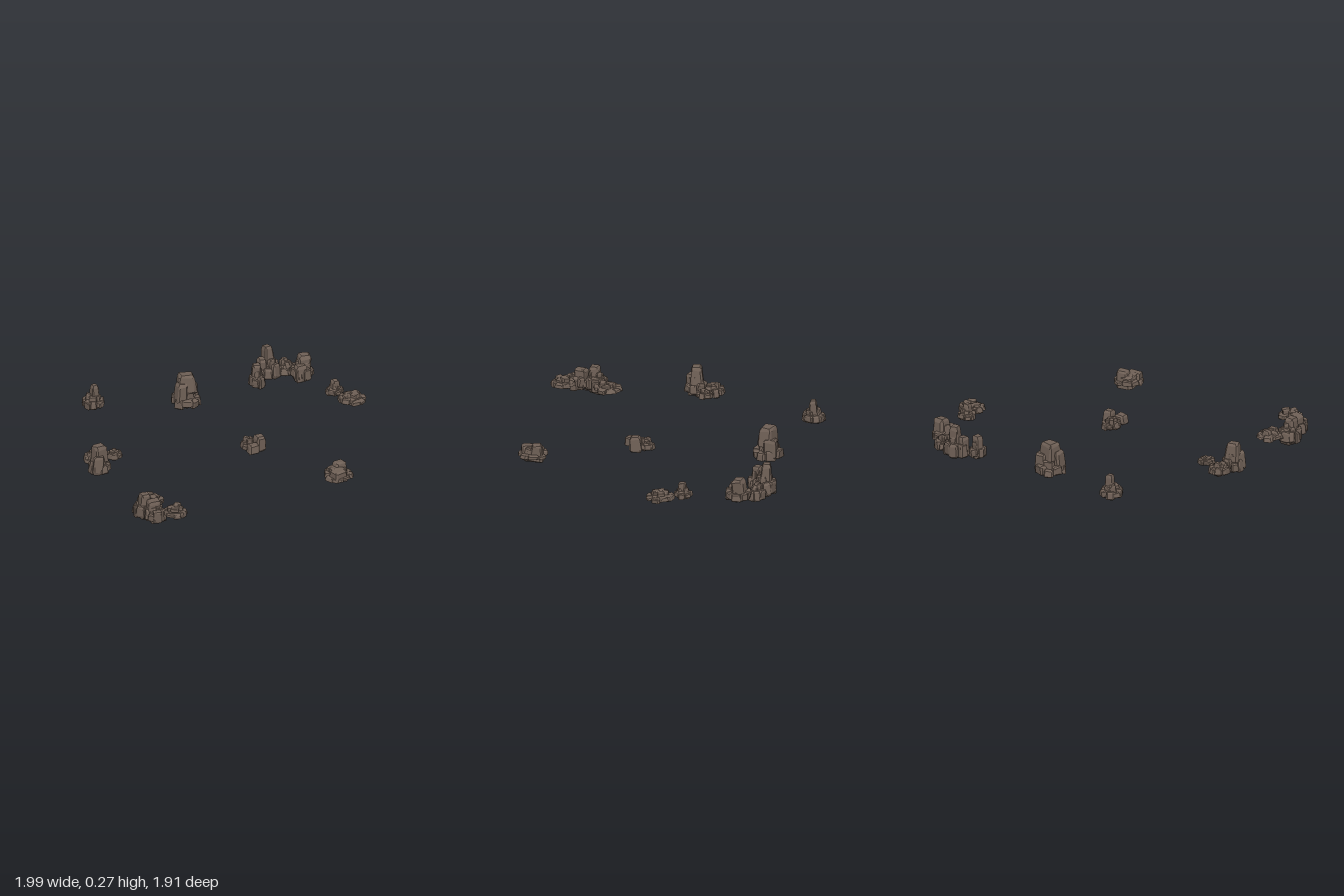
import * as THREE from 'three';
import { ConvexGeometry } from 'three/addons/geometries/ConvexGeometry.js';

// small seeded generator so the rubble is always the same
function makeRandom(seed) {
  return (min = 0, max = 1) => {
    seed = (seed * 16807) % 2147483647;
    return min + (max - min) * (seed / 2147483647);
  };
}

// Rubble mounds: [x, z, radiusX, radiusZ, bottom, top of skirt, top of crown]
// Crags (single large blocks): [x, z, width, depth, bottom, top]
const OUTCROPS = {
  backLeftSpire: {
    mounds: [[-0.64, -0.81, 0.074, 0.076, 0.07, 0.13, 0.16]],
    crags: [[-0.63, -0.81, 0.055, 0.055, 0.1, 0.22]],
  },
  backTower: {
    mounds: [[-0.06, -0.7, 0.098, 0.1, 0.04, 0.11, 0.15]],
    crags: [[-0.055, -0.7, 0.13, 0.11, 0.12, 0.25], [-0.1, -0.68, 0.07, 0.09, 0.06, 0.2],
      [-0.02, -0.73, 0.08, 0.08, 0.05, 0.18]],
  },
  backRightArc: {
    mounds: [[0.455, -0.795, 0.055, 0.06, 0.04, 0.12, 0.16], [0.56, -0.88, 0.085, 0.078, 0.05, 0.15, 0.2],
      [0.67, -0.865, 0.065, 0.065, 0.06, 0.13, 0.16], [0.745, -0.765, 0.075, 0.085, 0.07, 0.15, 0.18]],
    crags: [[0.56, -0.89, 0.075, 0.075, 0.1, 0.26], [0.45, -0.8, 0.06, 0.06, 0.06, 0.19],
      [0.51, -0.87, 0.06, 0.07, 0.06, 0.19], [0.76, -0.78, 0.09, 0.09, 0.09, 0.22],
      [0.72, -0.73, 0.08, 0.07, 0.06, 0.17]],
  },
  rightLedge: {
    mounds: [[0.84, -0.435, 0.06, 0.06, 0.08, 0.13, 0.15], [0.905, -0.305, 0.092, 0.09, 0.075, 0.115, 0.14]],
    crags: [[0.84, -0.43, 0.055, 0.06, 0.09, 0.18]],
  },
  leftOutcrop: {
    mounds: [[-0.91, -0.06, 0.072, 0.072, 0.05, 0.11, 0.14], [-0.785, -0.04, 0.055, 0.055, 0.08, 0.12, 0.135],
      [-0.92, 0.06, 0.07, 0.075, 0.04, 0.13, 0.18]],
    crags: [[-0.92, 0.055, 0.1, 0.085, 0.1, 0.23], [-0.94, 0.09, 0.07, 0.07, 0.05, 0.17]],
  },
  centreStones: {
    mounds: [[0.08, 0.07, 0.058, 0.068, 0.055, 0.1, 0.125]],
    crags: [[0.13, 0.115, 0.075, 0.085, 0.05, 0.15], [0.07, 0.165, 0.07, 0.07, 0.06, 0.12]],
  },
  frontLeftArc: {
    mounds: [[-0.78, 0.6, 0.088, 0.092, 0.045, 0.08, 0.105], [-0.86, 0.7, 0.073, 0.078, 0.005, 0.1, 0.14],
      [-0.825, 0.81, 0.07, 0.075, 0.02, 0.11, 0.135], [-0.715, 0.875, 0.082, 0.08, 0.07, 0.11, 0.14]],
    crags: [[-0.86, 0.71, 0.08, 0.08, 0.06, 0.17], [-0.85, 0.69, 0.09, 0.09, 0, 0.11],
      [-0.83, 0.79, 0.08, 0.08, 0.05, 0.155]],
  },
  frontRightDome: {
    mounds: [[0.445, 0.69, 0.093, 0.095, 0.06, 0.1, 0.135]],
    crags: [[0.44, 0.68, 0.12, 0.13, 0.04, 0.13], [0.46, 0.66, 0.09, 0.08, 0.08, 0.155],
      [0.43, 0.73, 0.1, 0.09, 0.06, 0.13]],
  },
};

// A box with every edge and corner chiselled off, slightly tapered
function stoneGeometry(rand) {
  const points = [];
  const taper = rand(0.02, 0.16);
  const lean = rand(-0.12, 0.12);
  const cut = () => rand(0.58, 0.86);
  for (const sx of [-1, 1]) for (const sy of [-1, 1]) for (const sz of [-1, 1]) {
    for (const [x, y, z] of [[1, cut(), cut()], [cut(), 1, cut()], [cut(), cut(), 1]]) {
      const scale = (1 - taper * y * sy) / (1 + taper);
      points.push(new THREE.Vector3(sx * x * scale + lean * y * sy, sy * y, sz * z * scale).multiplyScalar(0.5));
    }
  }
  return new ConvexGeometry(points);
}

export function createModel() {
  const rand = makeRandom(4711);
  const stone = new THREE.MeshStandardMaterial({ color: 0x6f6056 });
  stone.name = 'brown stone';
  const model = new THREE.Group();
  model.name = 'rockOutcrops';

  for (const [name, { mounds, crags }] of Object.entries(OUTCROPS)) {
    const outcrop = new THREE.Group();
    outcrop.name = name;
    model.add(outcrop);

    const addStone = (label, x, z, w, d, lo, hi, turn, tilt) => {
      const mesh = new THREE.Mesh(stoneGeometry(rand), stone);
      mesh.name = label;
      mesh.position.set(x, (lo + hi) / 2, z);
      mesh.scale.set(w, hi - lo, d);
      mesh.rotation.set(rand(-tilt, tilt), turn, rand(-tilt, tilt));
      outcrop.add(mesh);
    };

    // a ring of stones leaning on each other around a mound
    const addRing = (label, count, [x, z, rx, rz], reach, size, lo, hi) => {
      const start = rand(0, Math.PI);
      for (let i = 0; i < count; i++) {
        const a = start + (i + rand(-0.2, 0.2)) * Math.PI * 2 / count;
        const r = (rx + rz) / 2 * size;
        const height = hi - lo;
        addStone(label, x + Math.cos(a) * rx * reach, z + Math.sin(a) * rz * reach,
          r * rand(0.8, 1.1), r * rand(0.85, 1.2),
          lo + height * rand(0, 0.3), hi - height * rand(-0.05, 0.3), -a, 0.12);
      }
    };

    for (const mound of mounds) {
      const [x, z, rx, rz, lo, skirt, crown] = mound;
      addStone('core', x, z, rx * 1.3, rz * 1.3, lo, skirt, rand(0, 3), 0.04);
      addRing('skirtStone', 8, mound, 0.64, 0.7, lo, skirt);
      addRing('crownStone', 4, mound, 0.32, 0.62, (lo + skirt) / 2, crown);
    }
    for (const [x, z, w, d, lo, hi] of crags) addStone('crag', x, z, w, d, lo, hi, rand(-0.35, 0.35), 0.08);
  }
  return model;
}
